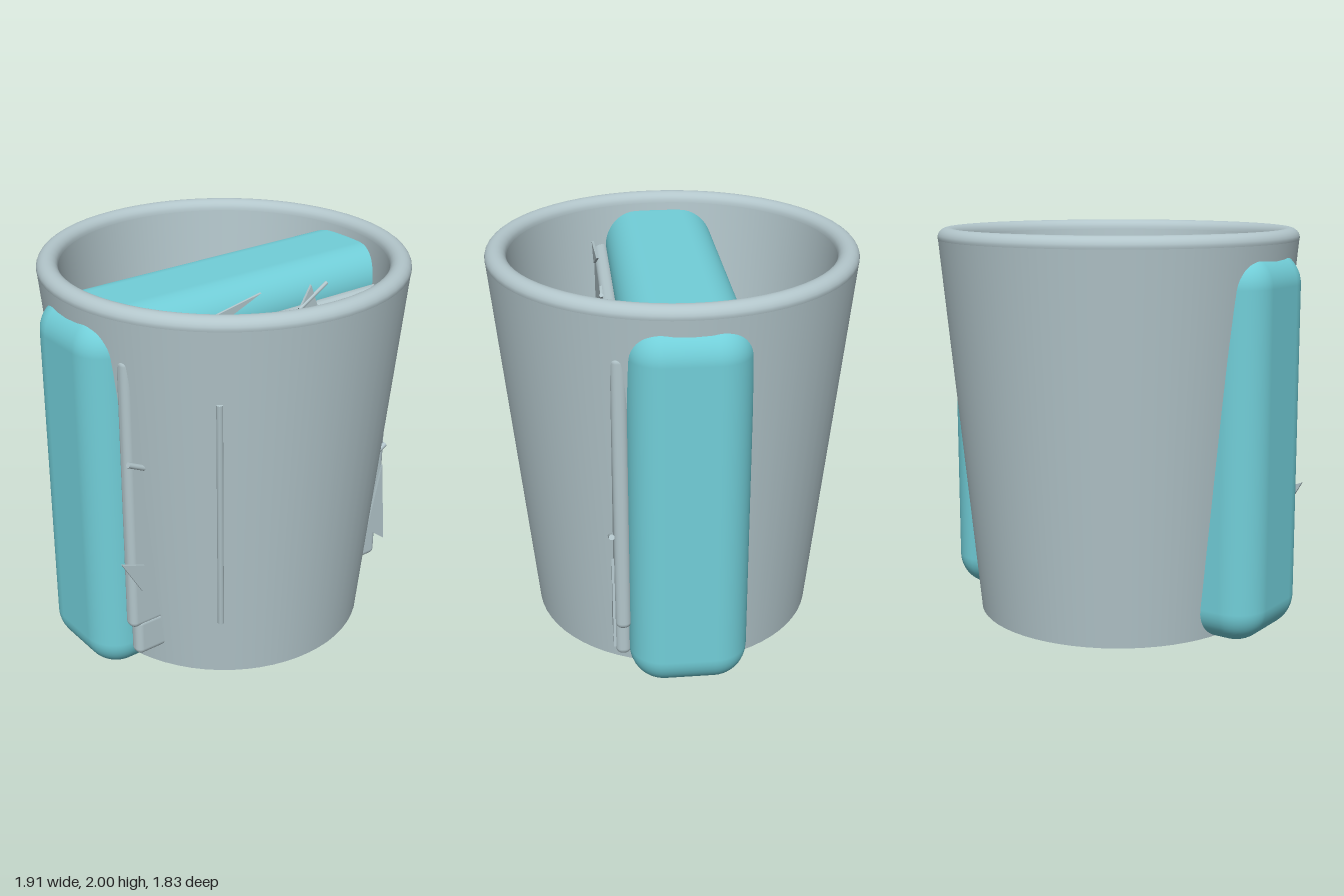
import * as THREE from 'three';
import { RoundedBoxGeometry } from 'three/addons/geometries/RoundedBoxGeometry.js';

const grey = new THREE.MeshStandardMaterial({ color: 0xb3c6cb });
grey.name = 'pale grey';
const teal = new THREE.MeshStandardMaterial({ color: 0x72cfd9 });
teal.name = 'teal';

export function createModel() {
  const model = new THREE.Group();
  model.name = 'cupWithBlock';

  const add = (name, geometry, material, x = 0, y = 0, z = 0) => {
    const mesh = new THREE.Mesh(geometry, material);
    mesh.name = name;
    mesh.position.set(x, y, z);
    model.add(mesh);
    return mesh;
  };
  const lathe = (points) =>
    new THREE.LatheGeometry(points.map(([r, y]) => new THREE.Vector2(r, y)), 64);
  // rounded box given by its lowest and highest corner
  const block = (name, material, lo, hi, radius, segments) =>
    add(name,
      new RoundedBoxGeometry(hi[0] - lo[0], hi[1] - lo[1], hi[2] - lo[2], segments, radius),
      material, (lo[0] + hi[0]) / 2, (lo[1] + hi[1]) / 2, (lo[2] + hi[2]) / 2);

  // tapered cup: outer wall, rounded rim, inner wall, foot ring
  add('outerWall', lathe([[0.728, 0.015], [0.913, 1.945]]), grey);
  const rim = [[0.911, 1.935]];
  for (let i = 0; i <= 12; i++) {
    const a = (i / 12) * Math.PI;
    rim.push([0.862 + 0.053 * Math.cos(a), 1.95 + 0.05 * Math.sin(a)]);
  }
  add('rim', lathe(rim), grey);
  add('innerWall', lathe([[0.81, 1.95], [0.636, 0.19]]), grey);
  add('footRing', lathe([[0.695, 0.015], [0.728, 0.015]]), grey);

  // base plug: recessed underside and inner floor
  add('baseUnderside', lathe([[0, 0.05], [0.65, 0.05]]), teal);
  add('baseStep', lathe([[0.65, 0.05], [0.65, 0.025]]), teal);
  add('baseLip', lathe([[0.65, 0.025], [0.7, 0.02]]), teal);
  add('innerFloor', lathe([[0.645, 0.195], [0, 0.195]]), teal);

  // large rounded block that passes through the cup
  block('block', teal, [-0.955, 0.005, -0.29], [0.955, 1.91, 0.29], 0.17, 6);

  // front plate and its narrower lower tab
  block('frontPlate', grey, [-0.835, 0.3, 0.28], [0.835, 1.75, 0.357], 0.034, 4);
  block('lowerTab', grey, [-0.805, 0.13, 0.28], [0.805, 0.34, 0.357], 0.034, 4);

  // flat pointed splinters on the plate
  const splinters = [
    [[-0.89, 0.71], [-0.76, 0.66], [-0.78, 0.52]],
    [[0.85, 0.22], [0.81, 0.7], [0.72, 0.32]],
    [[-0.66, 1.79], [-0.45, 1.74], [-0.06, 1.9]],
    [[0.17, 1.74], [0.3, 1.74], [0.25, 1.87]],
  ];
  splinters.forEach((corners, i) => {
    const shape = new THREE.Shape(corners.map(([x, y]) => new THREE.Vector2(x, y)));
    const geometry = new THREE.ExtrudeGeometry(shape, { depth: 0.012, bevelEnabled: false });
    add('splinter' + (i + 1), geometry, grey, 0, 0, 0.358);
  });

  // small sticks
  const stick = (name, a, b, radius) => {
    const from = new THREE.Vector3(...a);
    const to = new THREE.Vector3(...b);
    const mesh = add(name, new THREE.CylinderGeometry(radius, radius, from.distanceTo(to), 10), grey);
    mesh.position.copy(from).lerp(to, 0.5);
    mesh.quaternion.setFromUnitVectors(
      new THREE.Vector3(0, 1, 0), to.clone().sub(from).normalize());
  };
  stick('rightStick', [-0.835, 1.235, 0.367], [-0.66, 1.15, 0.367], 0.014);
  stick('leftStick', [0.82, 0.825, 0.367], [0.64, 0.73, 0.367], 0.014);
  stick('upperStick', [0.18, 1.76, 0.367], [0.35, 1.86, 0.367], 0.01);

  // slender seam strip following the front of the cup wall
  stick('seamStrip', [-0.546, 1.58, 0.685], [-0.472, 0.33, 0.594], 0.016);

  return model;
}
